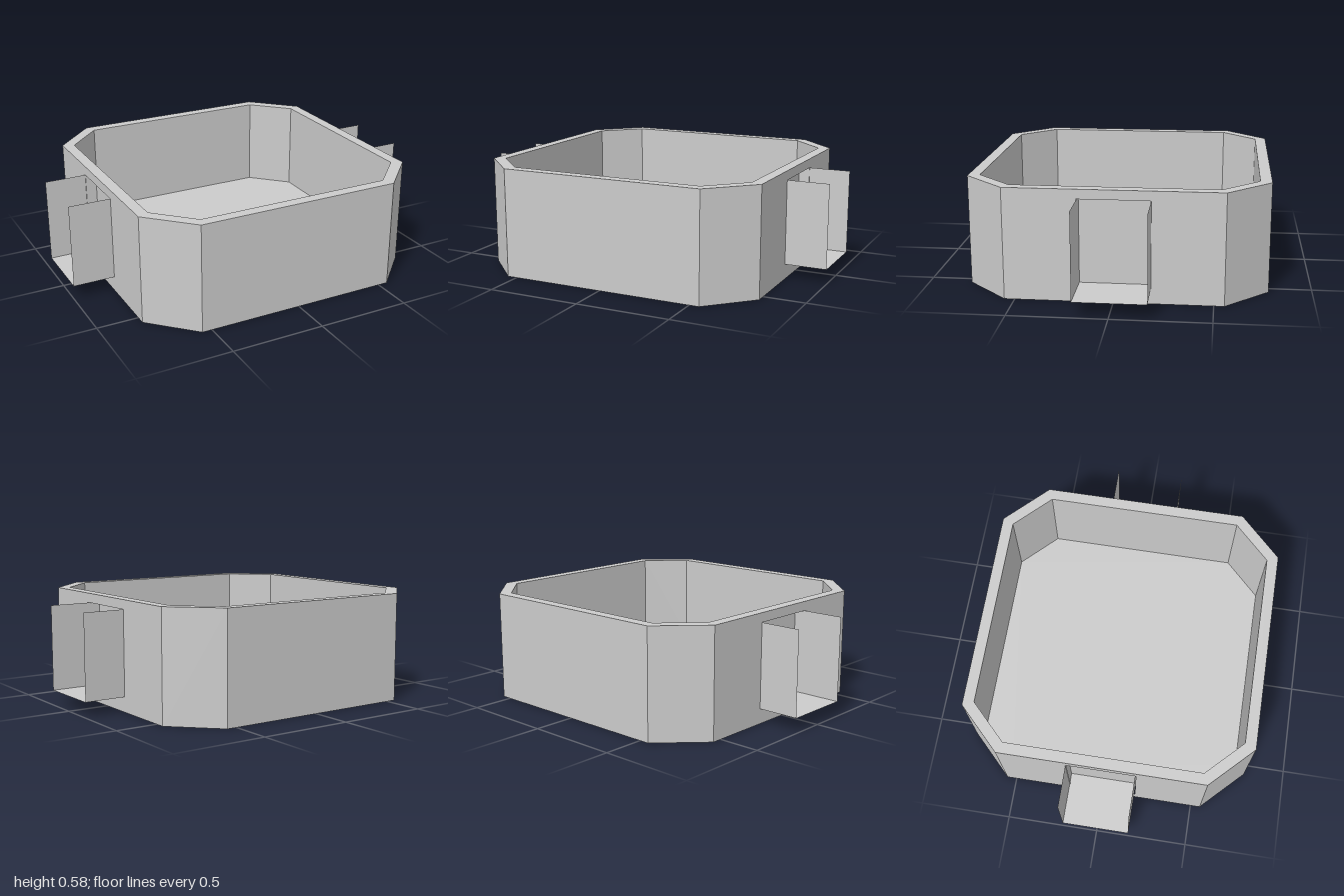
import * as THREE from 'three';

const material = new THREE.MeshStandardMaterial({ color: 0xcccccc, flatShading: true, side: THREE.DoubleSide });

const HEIGHT = 0.58, FLOOR = 0.08, WINDOW_TOP = 0.53, WINDOW_HALF = 0.183;
const OUTER = 0.777, OUTER_CORNER = 0.553, INNER = 0.717, INNER_CORNER = 0.527;

// Square outline with chamfered corners
function octagon(s, c) {
  return [[s, -c], [s, c], [c, s], [-c, s], [-s, c], [-s, -c], [-c, -s], [c, -s]]
    .map(([x, y]) => new THREE.Vector2(x, y));
}

function rectangle(PathType, x0, y0, x1, y1) {
  return new PathType([[x0, y0], [x1, y0], [x1, y1], [x0, y1]].map(([x, y]) => new THREE.Vector2(x, y)));
}

export function createModel() {
  const model = new THREE.Group();

  function add(parent, name, geometry) {
    const mesh = new THREE.Mesh(geometry, material);
    mesh.name = name;
    parent.add(mesh);
    return mesh;
  }

  // One skin of eight upright panels; the two x-facing ones have a window
  function addSkin(name, half, corner, bottom) {
    const skin = new THREE.Group();
    skin.name = name;
    const points = octagon(half, corner);
    points.forEach((a, i) => {
      const b = points[(i + 1) % 8];
      const w = a.distanceTo(b) / 2;
      const panel = rectangle(THREE.Shape, -w, bottom, w, HEIGHT);
      const hasWindow = i === 0 || i === 4;
      if (hasWindow) {
        if (bottom < FLOOR) {
          panel.holes.push(rectangle(THREE.Path, -WINDOW_HALF, FLOOR, WINDOW_HALF, WINDOW_TOP));
        } else {
          // The window reaches the floor, so it notches the panel
          panel.setFromPoints([[-w, bottom], [-WINDOW_HALF, bottom], [-WINDOW_HALF, WINDOW_TOP],
            [WINDOW_HALF, WINDOW_TOP], [WINDOW_HALF, bottom], [w, bottom], [w, HEIGHT], [-w, HEIGHT]]
            .map(([x, y]) => new THREE.Vector2(x, y)));
        }
      }
      const mesh = add(skin, hasWindow ? 'windowPanel' : 'panel', new THREE.ShapeGeometry(panel));
      mesh.position.set((a.x + b.x) / 2, 0, (a.y + b.y) / 2);
      mesh.rotation.y = Math.PI / 2 - i * Math.PI / 4;
    });
    model.add(skin);
  }
  addSkin('outerWall', OUTER, OUTER_CORNER, 0);
  addSkin('innerWall', INNER, INNER_CORNER, FLOOR);

  // Flat rim joining the two skins
  const rimShape = new THREE.Shape(octagon(OUTER, OUTER_CORNER));
  rimShape.holes.push(new THREE.Path(octagon(INNER, INNER_CORNER)));
  add(model, 'topRim', new THREE.ShapeGeometry(rimShape).rotateX(-Math.PI / 2).translate(0, HEIGHT, 0));

  // Raised floor
  const floorShape = new THREE.Shape(octagon(INNER, INNER_CORNER));
  add(model, 'floor', new THREE.ShapeGeometry(floorShape).rotateX(-Math.PI / 2).translate(0, FLOOR, 0));

  // Open-topped chute running out through each window
  for (const side of [1, -1]) {
    const chute = new THREE.Group();
    chute.name = side > 0 ? 'leftChute' : 'rightChute';
    const length = 1 - INNER, x = side * (1 + INNER) / 2;
    const height = WINDOW_TOP - FLOOR;
    for (const z of [-WINDOW_HALF, WINDOW_HALF]) {
      add(chute, 'chuteSide', new THREE.PlaneGeometry(length, height)).position.set(x, FLOOR + height / 2, z);
    }
    const base = new THREE.PlaneGeometry(length, 2 * WINDOW_HALF).rotateX(-Math.PI / 2);
    add(chute, 'chuteBase', base).position.set(x, FLOOR, 0);
    const lintel = new THREE.PlaneGeometry(OUTER - INNER, 2 * WINDOW_HALF).rotateX(Math.PI / 2);
    add(chute, 'lintel', lintel).position.set(side * (OUTER + INNER) / 2, WINDOW_TOP, 0);
    chute.position.z = -0.005;
    model.add(chute);
  }

  return model;
}
